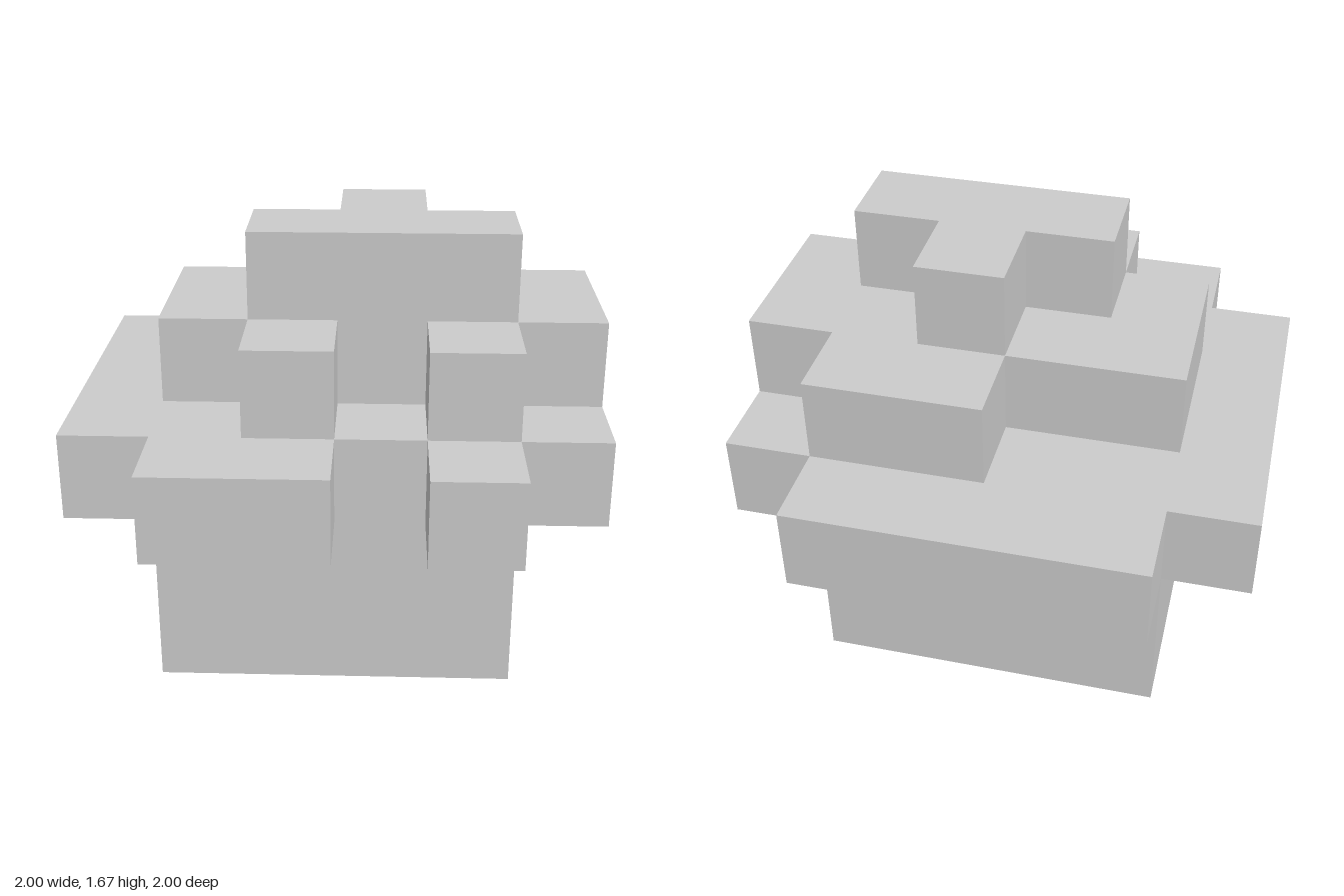
import * as THREE from 'three';

const CELL = 1 / 3; // everything sits on a grid of cubes this size

// Each layer: name, bottom row, height in rows, outline corners [x, z] in cells
const LAYERS = [
  ['base', 0, 2, [[-2, -2], [2, -2], [2, 2], [-2, 2]]],
  ['brim', 2, 1, [
    [-2, -3], [2, -3], [2, -2], [3, -2], [3, 2], [2, 2], [2, 3], [1, 3],
    [1, 2], [0, 2], [0, 3], [-2, 3], [-2, 2], [-3, 2], [-3, -2], [-2, -2],
  ]],
  ['upperStep', 3, 1, [
    [0, -2], [2, -2], [2, -1], [3, -1], [3, 1], [2, 1], [2, 2], [1, 2],
    [1, 1], [0, 1], [0, 2], [-1, 2], [-1, 1], [-2, 1], [-2, -1], [0, -1],
  ]],
  ['crown', 4, 1, [[-1, 0], [0, 0], [0, -1], [1, -1], [1, 0], [2, 0], [2, 1], [-1, 1]]],
];

export function createModel() {
  const model = new THREE.Group();
  model.name = 'steppedBlock';
  const material = new THREE.MeshStandardMaterial({ color: 0xcccccc, flatShading: true });

  for (const [name, row, rows, outline] of LAYERS) {
    const shape = new THREE.Shape(outline.map(([x, z]) => new THREE.Vector2(x * CELL, -z * CELL)));
    const geometry = new THREE.ExtrudeGeometry(shape, { depth: rows * CELL, bevelEnabled: false });
    geometry.rotateX(-Math.PI / 2); // lay the outline flat, extruded upwards
    const mesh = new THREE.Mesh(geometry, material);
    mesh.name = name;
    mesh.position.y = row * CELL;
    model.add(mesh);
  }
  return model;
}
